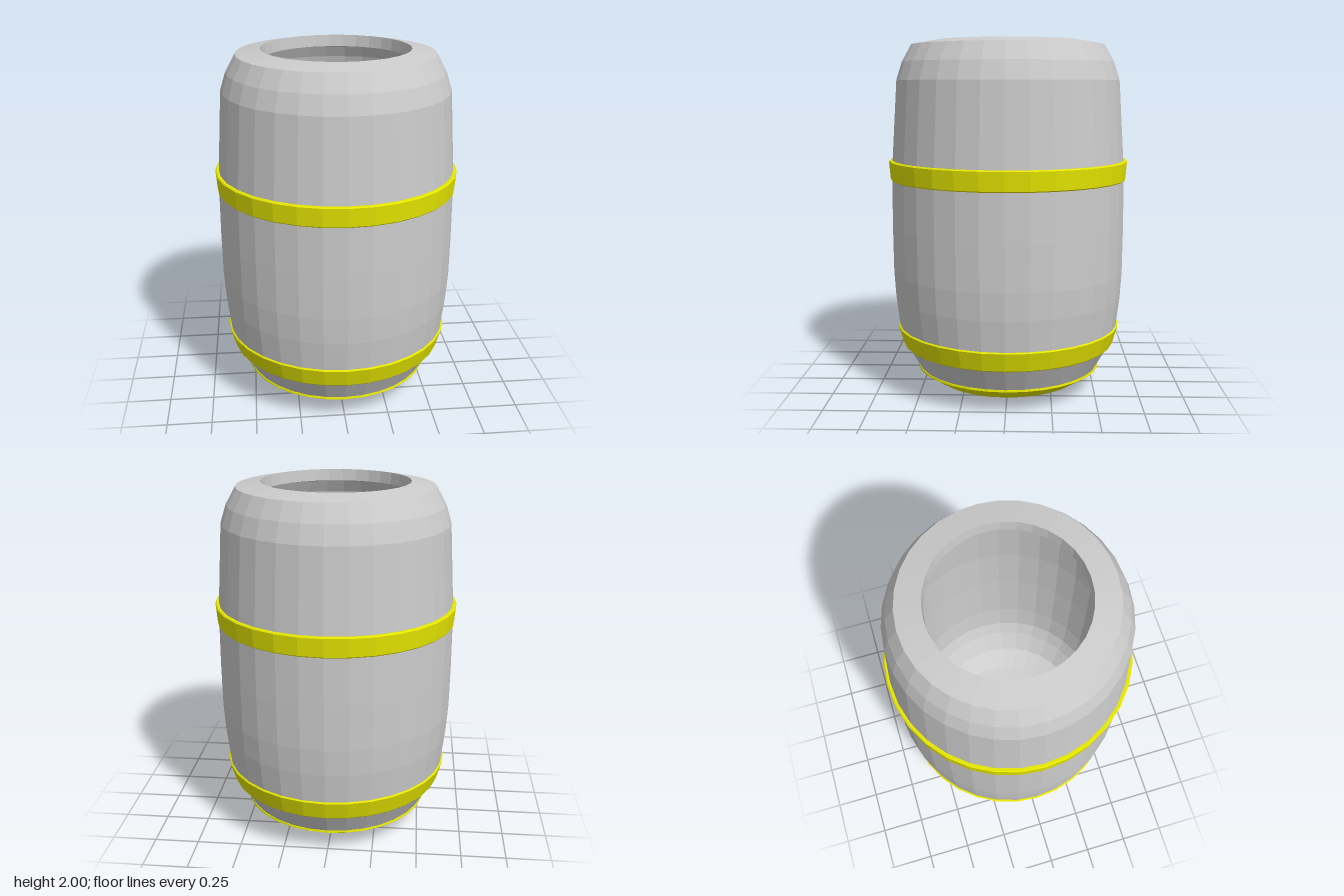
import * as THREE from 'three';

const SIDES = 32;

// Faceted surface of revolution; the profile runs up the outside and down the inside.
function turned(name, color, profile) {
  const points = profile.map(([r, y]) => new THREE.Vector2(r, y));
  const material = new THREE.MeshStandardMaterial({ color, flatShading: true });
  const mesh = new THREE.Mesh(new THREE.LatheGeometry(points, SIDES), material);
  mesh.name = name;
  return mesh;
}

// Slightly tapered hoop with thin bevelled edges, closed on the inside.
function hoop(name, y0, y1, r0, r1) {
  const b = 0.006, t = 0.03;
  return turned(name, YELLOW, [
    [r0 - t, y0], [r0 - b, y0], [r0, y0 + b], [r1, y1 - b], [r1 - b, y1], [r1 - t, y1], [r0 - t, y0],
  ]);
}

const GREY = 0xcccccc;
const YELLOW = 0xe6e600;

export function createModel() {
  const barrel = new THREE.Group();
  barrel.name = 'barrel';

  // Hollow body: outer wall, rolled shoulder, lip, inner wall, floor
  barrel.add(turned('body', GREY, [
    [0, 0.01], [0.22, 0.01], [0.415, 0.06], [0.522, 0.13], [0.6, 0.267], [0.633, 0.36],
    [0.655, 0.55], [0.664, 0.7], [0.666, 0.95], [0.664, 1.22], [0.66, 1.33],
    [0.63, 1.78], [0.598, 1.88], [0.545, 1.975], [0.41, 2.0],
    [0.405, 1.935], [0.51, 1.915], [0.545, 1.85], [0.57, 1.76], [0.6, 1.3],
    [0.604, 0.95], [0.595, 0.56], [0.575, 0.38], [0.54, 0.29], [0.47, 0.17],
    [0.36, 0.11], [0.18, 0.07], [0, 0.07],
  ]));

  // Coloured cap under the base
  barrel.add(turned('baseCap', YELLOW, [
    [0, 0], [0.23, 0], [0.425, 0.055], [0.532, 0.125], [0.53, 0.135], [0.5, 0.135],
  ]));

  // Hoops around the body
  barrel.add(hoop('lowerHoop', 0.265, 0.38, 0.615, 0.645));
  barrel.add(hoop('upperHoop', 1.22, 1.333, 0.672, 0.68));

  return barrel;
}
